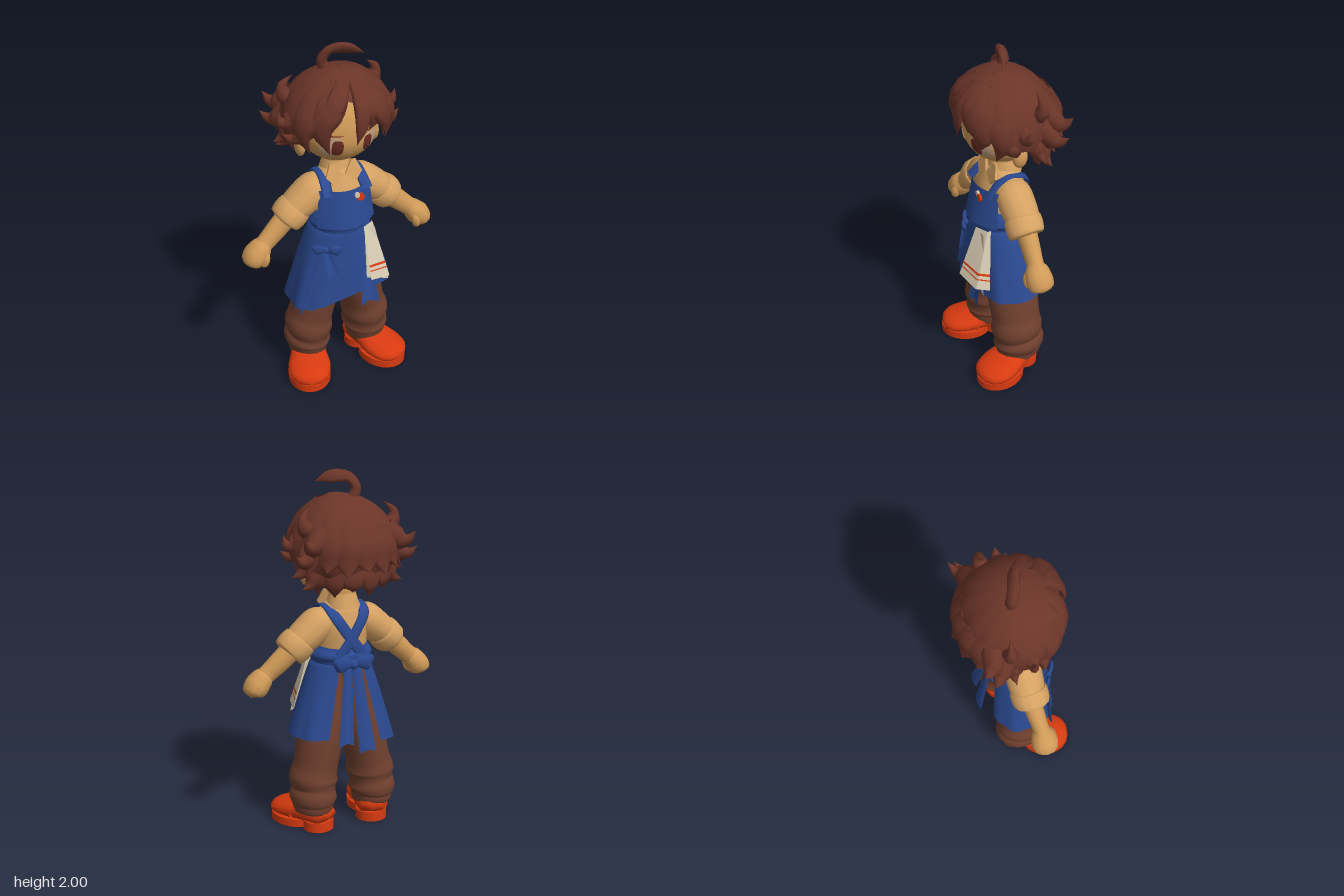
import * as THREE from 'three';
import { ParametricGeometry } from 'three/addons/geometries/ParametricGeometry.js';

const mat = (name, color) => {
  const m = new THREE.MeshStandardMaterial({ color, side: THREE.DoubleSide });
  m.name = name;
  return m;
};

// Sweep an ellipse along points [x, y, z, width, depth]; up sets the depth axis (a vector or a function of position)
function sweep(points, { up = new THREE.Vector3(0, 0, 1), rings = 16, sides = 12 } = {}) {
  const path = new THREE.CatmullRomCurve3(points.map(p => new THREE.Vector3(p[0], p[1], p[2])), false, 'centripetal');
  const size = new THREE.CatmullRomCurve3(points.map(p => new THREE.Vector3(p[3], p[4] ?? p[3], 0)), false, 'catmullrom', 0.3);
  const pos = [], index = [];
  for (let i = 0; i <= rings; i++) {
    const t = i / rings, c = path.getPoint(t), r = size.getPoint(t), T = path.getTangent(t);
    const N = (typeof up === 'function' ? up(c) : up).clone();
    N.addScaledVector(T, -N.dot(T)).normalize();
    const S = N.clone().cross(T);
    for (let k = 0; k < sides; k++) {
      const a = (k / sides) * Math.PI * 2;
      const v = c.clone().addScaledVector(S, Math.cos(a) * r.x).addScaledVector(N, Math.sin(a) * r.y);
      pos.push(v.x, v.y, v.z);
      if (i < rings) {
        const p = i * sides + k, q = i * sides + (k + 1) % sides;
        index.push(p, q, p + sides, q, q + sides, p + sides);
      }
    }
  }
  const g = new THREE.BufferGeometry();
  g.setAttribute('position', new THREE.Float32BufferAttribute(pos, 3));
  g.setIndex(index);
  g.computeVertexNormals();
  return g;
}

const sheet = (fn, nu, nv) => new ParametricGeometry((u, v, out) => out.set(...fn(u, v)), nu, nv);
const lerp = THREE.MathUtils.lerp;
const pow = (v, e) => Math.sign(v) * Math.pow(Math.abs(v), e);

export function createModel() {
  const root = new THREE.Group();
  const skin = mat('skin', 0xd09a58), shirt = mat('shirt', 0xd6a263), hair = mat('hair', 0x6b3529);
  const blue = mat('apron blue', 0x2b4990), brown = mat('trouser brown', 0x70402f), red = mat('shoe red', 0xd83a10);
  const cream = mat('towel cream', 0xd6cab2), eyeTone = mat('eye surround', 0xc4a27e), iris = mat('iris', 0x6a2c22);
  const add = (name, geo, m, x = 0, y = 0, z = 0) => {
    const mesh = new THREE.Mesh(geo, m);
    mesh.name = name;
    mesh.position.set(x, y, z);
    root.add(mesh);
    return mesh;
  };

  // Head: sphere with a shorter, fuller lower half
  const faceZ = (x, y) => 0.02 + 0.2 * Math.sqrt(Math.max(0, 1 - (x / 0.21) ** 2 - ((y - 1.54) / (y > 1.54 ? 0.27 : 0.185)) ** 2));
  const head = new THREE.SphereGeometry(1, 32, 24), hp = head.attributes.position;
  for (let i = 0; i < hp.count; i++) {
    const y = hp.getY(i);
    hp.setXYZ(i, hp.getX(i) * 0.21, 1.54 + y * (y > 0 ? 0.27 : 0.185), 0.02 + hp.getZ(i) * 0.2);
  }
  head.computeVertexNormals();
  add('head', head, skin);
  add('neck', new THREE.CylinderGeometry(0.062, 0.068, 0.18, 16), skin, 0, 1.33, 0);

  // Thin rounded-square plates that follow the face
  const facePlate = (name, cx, cy, w, h, off, m) => add(name, sheet((u, v) => {
    const a = u * Math.PI * 2, x = cx + pow(Math.cos(a), 0.65) * w * v, y = cy + pow(Math.sin(a), 0.65) * h * v;
    return [x, y, faceZ(x, y) + off];
  }, 24, 4), m);

  for (const s of [-1, 1]) {
    facePlate('eyeSurround', s * 0.108, 1.508, 0.054, 0.058, 0.003, eyeTone);
    facePlate('iris', s * 0.084, 1.505, 0.028, 0.047, 0.006, iris);
    facePlate('eyebrow', s * 0.105, 1.576, 0.05, 0.003, 0.005, iris);
    add('ear', new THREE.SphereGeometry(1, 14, 10), skin, s * 0.213, 1.46, 0.015).scale.set(0.028, 0.06, 0.042);
  }

  // Hair cap: bell-shaped scalloped shell whose hem drops from the brow and tucks in at the nape
  add('hairCap', sheet((u, v) => {
    const th = u * Math.PI * 2 - Math.PI, back = Math.sin(Math.abs(th) / 2);
    const phi = v * (0.9 + 1.75 * Math.pow(back, 1.4) + 0.07 * Math.cos(14 * th));
    const r = 1 + 0.04 * v * Math.abs(Math.sin(7 * th)) + 0.13 * v * v * back, f = Math.sin(phi) * r;
    return [0.272 * f * pow(Math.sin(th), 0.9), 1.62 + 0.255 * Math.cos(phi), 0.03 - 0.05 * v * back + 0.25 * f * pow(Math.cos(th), 0.9)];
  }, 84, 24), hair);

  // Hair locks: tapering sweeps, flat against the head unless another up axis is given
  const outward = c => new THREE.Vector3(c.x, c.y - 1.6, c.z + 0.01);
  const lock = (w, pts, up = outward, flat = 0.42, taper = pts.length === 3 ? [0.85, 0.8, 0] : [0.75, 1, 0.75, 0]) =>
    add('hairLock', sweep(pts.map((p, i) => [...p, w * taper[i], w * taper[i] * flat]), { up, rings: 10, sides: 8 }), hair);
  // Fringe
  lock(0.05, [[0.03, 1.84, 0.16], [0.03, 1.74, 0.25], [0.018, 1.64, 0.275], [-0.005, 1.535, 0.265]]);
  lock(0.08, [[0.05, 1.83, 0.15], [0.13, 1.72, 0.22], [0.18, 1.62, 0.21], [0.165, 1.53, 0.215]]);
  lock(0.05, [[0.04, 1.83, 0.17], [0.085, 1.74, 0.24], [0.1, 1.66, 0.25], [0.07, 1.59, 0.24]]);
  lock(0.08, [[-0.04, 1.83, 0.14], [-0.13, 1.73, 0.2], [-0.175, 1.63, 0.2], [-0.13, 1.48, 0.21]]);
  lock(0.055, [[-0.03, 1.84, 0.15], [-0.095, 1.77, 0.21], [-0.15, 1.69, 0.22], [-0.17, 1.58, 0.22]]);
  lock(0.06, [[0.04, 1.8, -0.05], [0.045, 1.855, 0.02], [0.04, 1.84, 0.1], [0.02, 1.77, 0.22]]);
  // Side locks, broad at the root and flicking out to a point
  const zAxis = new THREE.Vector3(0, 0, 1);
  for (const s of [-1, 1]) {
    const side = (w, ...pts) => lock(w, pts.map(p => [s * p[0], p[1], p[2]]), zAxis, 0.9, [1, 0.8, 0.42, 0]);
    lock(0.075, [[s * 0.14, 1.76, 0.12], [s * 0.22, 1.68, 0.14], [s * 0.25, 1.59, 0.13], [s * 0.21, 1.47, 0.15]]);
    side(0.06, [0.17, 1.7, -0.06], [0.25, 1.715, -0.08], [0.265, 1.775, -0.08], [0.21, 1.83, -0.07]);
    side(0.07, [0.19, 1.68, 0.02], [0.265, 1.625, 0.02], [0.315, 1.62, 0.02], [0.335, 1.68, 0.02]);
    side(0.07, [0.18, 1.62, 0.09], [0.24, 1.57, 0.09], [0.285, 1.55, 0.08], [0.335, 1.585, 0.07]);
    side(0.075, [0.2, 1.63, -0.1], [0.27, 1.57, -0.13], [0.31, 1.56, -0.16], [0.355, 1.6, -0.19]);
    side(0.075, [0.18, 1.68, -0.14], [0.25, 1.64, -0.17], [0.285, 1.64, -0.2], [0.32, 1.69, -0.23]);
    side(0.07, [0.2, 1.58, -0.05], [0.25, 1.51, -0.06], [0.28, 1.48, -0.07], [0.33, 1.465, -0.07]);
    side(0.065, [0.18, 1.54, -0.1], [0.22, 1.46, -0.11], [0.25, 1.425, -0.12], [0.295, 1.41, -0.13]);
    lock(0.055, [[s * 0.17, 1.5, -0.09], [s * 0.2, 1.43, -0.1], [s * 0.19, 1.36, -0.11]]);
  }
  // Rows of broad locks around the back
  for (const [y, r, w, n, flick] of [[1.6, 0.265, 0.085, 7, 0.05], [1.48, 0.22, 0.075, 6, 0.0]])
    for (let i = 0; i < n; i++) {
      const a = Math.PI * lerp(-0.34, 0.34, i / (n - 1)), x = Math.sin(a), z = -Math.cos(a), j = (i % 2) * 0.03;
      lock(w, [[x * (r - 0.04), y + 0.12, z * (r - 0.04)], [x * r, y + 0.03, z * r],
        [x * (r + 0.015), y - 0.05, z * (r + 0.015)], [x * (r + flick), y - 0.12 + j, z * (r + flick)]]);
    }
  // Curled tuft on the crown
  add('crownTuft', sweep([[-0.03, 1.82, -0.02, 0.03, 0.025], [-0.07, 1.9, -0.02, 0.032, 0.025], [-0.035, 1.96, 0.0, 0.036, 0.022],
    [0.055, 1.966, 0.03, 0.038, 0.02], [0.13, 1.94, 0.07, 0, 0]], { up: new THREE.Vector3(0.3, -0.5, 0.8), sides: 8 }), hair);

  // Shirt body and collar
  add('shirtBody', sweep([[0, 0.92, 0.03, 0.14, 0.11], [0, 1.05, 0.03, 0.15, 0.125], [0, 1.16, 0.02, 0.155, 0.125],
    [0, 1.25, 0.01, 0.13, 0.1], [0, 1.31, 0, 0.07, 0.07]], { sides: 24 }), shirt);
  add('collarBand', new THREE.CylinderGeometry(0.072, 0.095, 0.08, 20, 1, true), shirt, 0, 1.305, 0.0);
  for (const s of [-1, 1]) {
    const flap = new THREE.Shape([[0.005, 1.27], [0.065, 1.225], [0.105, 1.275], [0.075, 1.345], [0.05, 1.345]].map(p => new THREE.Vector2(s * p[0], p[1])));
    add('collarFlap', new THREE.ExtrudeGeometry(flap, { depth: 0.012, bevelEnabled: false }), shirt, 0, 0.05, 0.435).rotation.x = -0.27;

    // Sleeve, rolled cuff, forearm, hand
    const z = 0.015;
    add('sleeve', sweep([[s * 0.07, 1.21, z, 0.06, 0.08], [s * 0.14, 1.18, z, 0.092, 0.1], [s * 0.21, 1.125, z, 0.092, 0.1], [s * 0.28, 1.075, z, 0.08, 0.09]]), shirt);
    add('rolledCuff', sweep([[s * 0.24, 1.1, z, 0.07], [s * 0.245, 1.095, z, 0.092, 0.1], [s * 0.28, 1.065, z + 0.005, 0.097, 0.105],
      [s * 0.315, 1.035, z + 0.01, 0.088, 0.095], [s * 0.32, 1.03, z + 0.01, 0.05]]), shirt);
    add('forearm', sweep([[s * 0.28, 1.065, 0.02, 0.06], [s * 0.35, 1.0, 0.025, 0.06, 0.052], [s * 0.43, 0.93, 0.035, 0.053, 0.046], [s * 0.48, 0.89, 0.04, 0.05]]), skin);
    add('hand', sweep([[s * 0.43, 0.935, 0.04, 0.04], [s * 0.46, 0.905, 0.04, 0.06, 0.066], [s * 0.495, 0.865, 0.04, 0.067, 0.075],
      [s * 0.522, 0.83, 0.038, 0.054, 0.065], [s * 0.532, 0.805, 0.036, 0]]), skin);
    add('thumb', sweep([[s * 0.445, 0.91, 0.075, 0.015], [s * 0.455, 0.865, 0.092, 0.024], [s * 0.465, 0.825, 0.087, 0.022], [s * 0.47, 0.8, 0.082, 0]], { sides: 8 }), skin);

    // Baggy trouser leg with folds near the ankle
    add('trouserLeg', sweep([[s * 0.075, 0.97, 0.025, 0.07, 0.09], [s * 0.09, 0.8, 0.025, 0.1, 0.115], [s * 0.108, 0.62, 0.02, 0.12, 0.14], [s * 0.14, 0.48, 0.015, 0.123, 0.145],
      [s * 0.165, 0.36, 0.01, 0.122, 0.14], [s * 0.178, 0.29, 0.01, 0.136, 0.15], [s * 0.18, 0.235, 0.005, 0.12, 0.14], [s * 0.185, 0.19, 0, 0.132, 0.15],
      [s * 0.185, 0.14, 0, 0.112, 0.135], [s * 0.185, 0.105, -0.01, 0.105, 0.125], [s * 0.185, 0.1, -0.01, 0.05]], { rings: 40, sides: 20 }), brown);

    // Shoe, toes turned outward
    const shoe = new THREE.Group();
    shoe.name = 'shoe';
    const upper = sweep([[0, 0.07, -0.115, 0, 0], [0, 0.08, -0.1, 0.07, 0.055], [0, 0.092, -0.03, 0.09, 0.068], [0, 0.093, 0.06, 0.105, 0.069],
      [0, 0.08, 0.15, 0.122, 0.058], [0, 0.069, 0.23, 0.112, 0.049], [0, 0.058, 0.28, 0.07, 0.036], [0, 0.052, 0.3, 0, 0]], { up: new THREE.Vector3(0, 1, 0), sides: 20 });
    const sole = [red, red, brown];
    const parts = [['shoeUpper', upper, red, 0, 0, 1], ['frontSole', new THREE.CylinderGeometry(0.122, 0.122, 0.045, 28), sole, 0.0225, 0.152, 1.22],
      ['heel', new THREE.CylinderGeometry(0.088, 0.088, 0.055, 24), sole, 0.0275, -0.035, 0.95],
      ['shoeStrap', new THREE.TorusGeometry(0.1, 0.012, 8, 20, Math.PI), red, 0.055, 0.09, 1]];
    for (const [name, geo, m, y, zz, sz] of parts) {
      const mesh = new THREE.Mesh(geo, m);
      mesh.name = name;
      mesh.position.set(0, y, zz);
      mesh.scale.z = sz;
      shoe.add(mesh);
    }
    shoe.position.x = s * 0.18;
    shoe.rotation.y = s * 0.36;
    root.add(shoe);

    // Shoulder strap, crossing over at the back
    add('apronStrap', sweep([[s * 0.115, 1.19, 0.15], [s * 0.105, 1.255, 0.085], [s * 0.1, 1.28, 0.02], [s * 0.09, 1.24, -0.08],
      [s * 0.02, 1.13, -0.11], [-s * 0.07, 1.01, -0.11]].map(p => [...p, 0.031, 0.007]),
      { up: c => new THREE.Vector3(0, Math.max(0, c.y - 1.2), c.z - 0.01), rings: 24, sides: 8 }), blue);
  }

  // Apron: bib, bloused waist, flared skirt open at the back
  add('bib', sheet((u, v) => {
    const x = (u * 2 - 1) * lerp(0.148, 0.17, v);
    return [x, lerp(1.215, 1.0, v), lerp(0.17, 0.215, v) - 3 * x * x];
  }, 14, 6), blue);
  add('apronWaist', sweep([[0, 0.93, 0.035, 0.158, 0.15], [0, 0.975, 0.035, 0.165, 0.155], [0, 1.0, 0.035, 0.18, 0.165],
    [0, 1.03, 0.035, 0.17, 0.158], [0, 1.065, 0.03, 0.152, 0.13]], { sides: 28 }), blue);
  add('apronSkirt', sheet((u, v) => {
    const th = (u * 2 - 1) * 2.72, f = 1 + 0.02 * v * Math.sin(9 * th), k = Math.pow(v, 0.85), e = lerp(1, 0.72, k);
    const x = pow(Math.sin(th), e) * lerp(0.158, 0.3, k) * f;
    return [x, lerp(0.97, 0.55 + Math.min(x, 0.05) * 0.22, v), lerp(0.035, 0.022, v) + pow(Math.cos(th), e) * lerp(0.15, 0.19, k) * f];
  }, 60, 12), blue);

  // Ribbon tails: flat strips with a notched end, from top to bottom
  const ribbon = (a, b, w) => add('ribbonTail', sheet((u, v) => {
    const k = u * 2 - 1, hw = w * lerp(0.55, 1, v), notch = 0.02 * v * (1 - Math.abs(k));
    return [lerp(a[0], b[0], v) + k * hw, lerp(a[1], b[1], v) + notch, lerp(a[2], b[2], v) - 0.012 * (1 - k * k)];
  }, 6, 6), blue);
  ribbon([-0.02, 0.96, -0.13], [-0.05, 0.48, -0.215], 0.05);
  ribbon([0.03, 0.96, -0.13], [0.075, 0.53, -0.205], 0.045);
  ribbon([0.1, 0.72, 0.205], [0.1, 0.485, 0.25], 0.055);
  ribbon([-0.15, 0.87, 0.17], [-0.255, 0.47, 0.16], 0.045);
  ribbon([-0.14, 0.87, 0.18], [-0.11, 0.7, 0.215], 0.035);

  // Bows: knot and two loops
  const bow = (x, y, z, k, turn) => {
    const g = new THREE.Group();
    g.name = 'bow';
    const knot = new THREE.Mesh(new THREE.SphereGeometry(0.03 * k, 12, 8), blue);
    knot.name = 'bowKnot';
    g.add(knot);
    for (const s of [-1, 1]) {
      const loop = new THREE.Mesh(sweep([[0, 0, 0, 0.015 * k], [s * 0.05 * k, 0.012 * k, 0.01, 0.042 * k, 0.018 * k],
        [s * 0.1 * k, 0, 0.005, 0.048 * k, 0.018 * k], [s * 0.118 * k, -0.01 * k, 0, 0.03 * k, 0]], { rings: 10, sides: 10 }), blue);
      loop.name = 'bowLoop';
      g.add(loop);
    }
    g.position.set(x, y, z);
    g.rotation.y = turn;
    root.add(g);
  };
  bow(0, 0.97, -0.135, 0.95, Math.PI);
  bow(-0.135, 0.875, 0.175, 0.65, -0.5);

  // Towel: front face that folds around its outer side
  const towel = (off, v0, v1) => sheet((u, t) => {
    const v = lerp(v0, v1, t), a = Math.min(u / 0.6, 1), b = Math.max(0, (u - 0.6) / 0.4);
    return [lerp(0.07, lerp(0.14, 0.2, v), a) + 0.015 * b * v + off * b, lerp(0.985, 0.7 - 0.03 * a - 0.03 * b, v),
      lerp(0.205, 0.31, v) - 0.035 * a - b * lerp(0.02, 0.08, v) + off];
  }, 20, 8);
  add('towel', towel(0, 0, 1), cream);
  add('towelWideStripe', towel(0.003, 0.72, 0.76), red);
  add('towelThinStripe', towel(0.003, 0.82, 0.84), red);
  add('towelBackLayer', sheet((u, v) => [lerp(0.08, lerp(0.14, 0.215, v), u), lerp(0.97, 0.665 - 0.045 * u, v), lerp(0.195, 0.235, v)], 2, 4), cream);

  // Round badge on the bib
  const disc = (name, x, y, r, m) => { add(name, new THREE.CylinderGeometry(r, r, 0.012, 16), m, x, y, 0.178).rotation.x = Math.PI / 2; };
  disc('badge', 0.063, 1.165, 0.022, red);
  disc('badgeTrim', 0.043, 1.18, 0.015, cream);

  return root;
}
